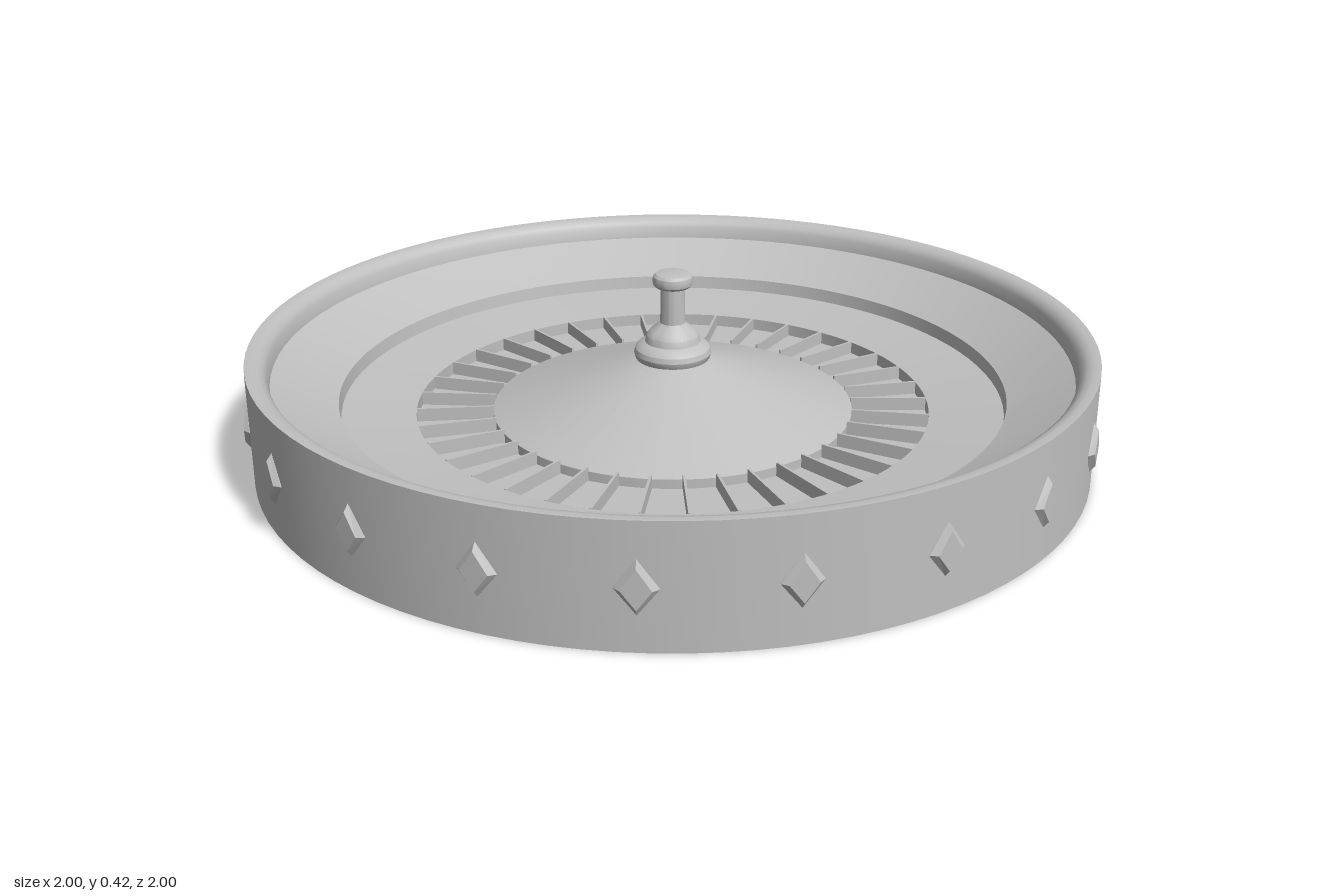
import * as THREE from 'three';
import { toCreasedNormals } from 'three/addons/utils/BufferGeometryUtils.js';

const POCKETS = 37;
const STUDS = 20;

// Turned part from [radius, height] pairs, with crisp edges kept
function turned(name, profile, material, segments = 96) {
  const points = profile.map(([r, y]) => new THREE.Vector2(r, y));
  const geometry = toCreasedNormals(new THREE.LatheGeometry(points, segments), 0.45);
  const mesh = new THREE.Mesh(geometry, material);
  mesh.name = name;
  return mesh;
}

// Repeat a mesh around the vertical axis
function ring(name, count, offset, geometry, material) {
  const group = new THREE.Group();
  group.name = name + 's';
  for (let i = 0; i < count; i++) {
    const mesh = new THREE.Mesh(geometry, material);
    mesh.name = name;
    mesh.rotation.y = offset + (i / count) * Math.PI * 2;
    group.add(mesh);
  }
  return group;
}

export function createModel() {
  const model = new THREE.Group();
  model.name = 'spinningWheel';
  const grey = new THREE.MeshStandardMaterial({ color: 0xc0c0c0 });
  grey.name = 'grey';

  // Bowl: flat underside, straight wall, rounded lip, sloped track and sunken pocket floor
  model.add(turned('bowl', [
    [0, 0], [0.988, 0], [0.988, 0.275],
    [0.972, 0.275], [0.958, 0.271], [0.947, 0.262], [0.94, 0.25], [0.936, 0.22],
    [0.795, 0.153], [0.787, 0.15], [0.783, 0.117],
    [0.611, 0.098], [0.611, 0.068],
    [0.42, 0.068],
  ], grey));

  // Shallow cone in the middle
  model.add(turned('cone', [[0.43, 0.06], [0.43, 0.09], [0.08, 0.212]], grey));

  // Spindle: bulging collar, flared neck, stem and rounded knob
  model.add(turned('spindle', [
    [0.08, 0.2], [0.089, 0.212], [0.092, 0.224], [0.089, 0.236], [0.08, 0.246],
    [0.066, 0.252], [0.062, 0.268], [0.052, 0.28], [0.038, 0.29], [0.03, 0.298],
    [0.028, 0.385], [0.04, 0.386], [0.046, 0.392], [0.048, 0.402],
    [0.046, 0.412], [0.04, 0.418], [0.03, 0.42], [0, 0.42],
  ], grey, 40));

  // Thin fins between the pockets
  const fin = new THREE.BoxGeometry(0.006, 0.04, 0.182);
  fin.translate(0, 0.08, 0.52);
  model.add(ring('pocketDivider', POCKETS, Math.PI - 0.011, fin, grey));

  // Bevelled kite studs on the outer wall
  const kite = new THREE.Shape([
    new THREE.Vector2(0, 0.08), new THREE.Vector2(0.044, 0.136),
    new THREE.Vector2(0, 0.197), new THREE.Vector2(-0.044, 0.136),
  ]);
  const stud = new THREE.ExtrudeGeometry(kite, {
    depth: 0.004, bevelThickness: 0.012, bevelSize: 0.011, bevelOffset: -0.011, bevelSegments: 1,
  });
  stud.translate(0, 0, 0.984);
  model.add(ring('kiteStud', STUDS, 0, stud, grey));

  return model;
}
